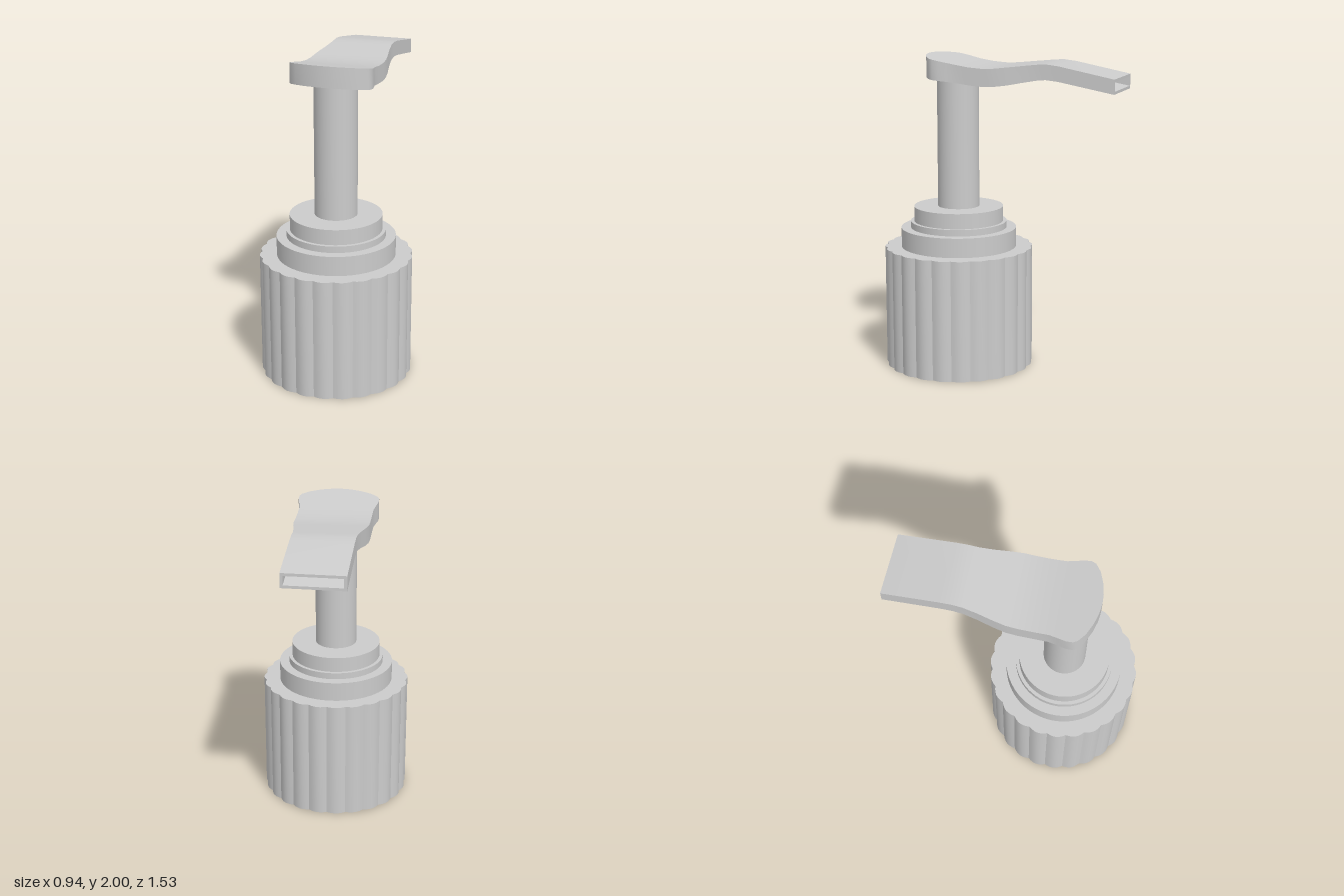
import * as THREE from 'three';
import { toCreasedNormals } from 'three/addons/utils/BufferGeometryUtils.js';

const AXIS_Z = 0.295; // the bottle neck axis, ahead of the centre

// Skin a row of four-cornered rings and cap both ends
function skinRings(rings) {
  const positions = rings.flat(2);
  const index = [];
  for (let i = 0; i < rings.length - 1; i++) {
    for (let j = 0; j < 4; j++) {
      const a = i * 4 + j, b = i * 4 + (j + 1) % 4;
      index.push(a, b, b + 4, a, b + 4, a + 4);
    }
  }
  const e = (rings.length - 1) * 4;
  index.push(0, 2, 1, 0, 3, 2, e, e + 1, e + 2, e, e + 2, e + 3);
  const geometry = new THREE.BufferGeometry();
  geometry.setAttribute('position', new THREE.Float32BufferAttribute(positions, 3));
  geometry.setIndex(index);
  return toCreasedNormals(geometry, 0.65);
}

export function createModel() {
  const model = new THREE.Group();
  const material = new THREE.MeshStandardMaterial({ color: 0xcccccc });
  const add = (name, geometry, y = 0, z = 0) => {
    const mesh = new THREE.Mesh(geometry, material);
    mesh.name = name;
    mesh.position.set(0, y, z);
    model.add(mesh);
  };
  const addCylinder = (name, radius, y0, y1) =>
    add(name, new THREE.CylinderGeometry(radius, radius, y1 - y0, 64), (y0 + y1) / 2, AXIS_Z);

  // Screw cap with scalloped grip ribs
  const ribs = 24, steps = 6, outline = [];
  for (let i = 0; i < ribs * steps; i++) {
    const angle = (i / (ribs * steps)) * Math.PI * 2;
    const r = 0.458 + 0.015 * Math.abs(Math.sin(angle * ribs / 2));
    outline.push(new THREE.Vector2(Math.cos(angle) * r, Math.sin(angle) * r));
  }
  const cap = new THREE.ExtrudeGeometry(new THREE.Shape(outline), { depth: 0.77, bevelEnabled: false });
  cap.rotateX(-Math.PI / 2);
  add('screwCap', toCreasedNormals(cap, 0.3), 0, AXIS_Z);

  // Stepped collar and plunger
  addCylinder('collarBase', 0.368, 0.77, 0.893);
  addCylinder('collarRing', 0.307, 0.893, 0.934);
  addCylinder('collarTop', 0.285, 0.934, 1.03);
  addCylinder('stem', 0.132, 1.03, 1.86);

  // Pump head sections from spout tip to front: z, half width, top y, bottom y
  const sections = [
    [-0.767, 0.19, 1.89, 1.80], [-0.42, 0.19, 1.957, 1.864],
    [-0.34, 0.19, 1.966, 1.872], [-0.28, 0.191, 1.962, 1.866],
    [-0.19, 0.202, 1.952, 1.85], [-0.1, 0.218, 1.942, 1.833],
    [-0.02, 0.229, 1.933, 1.823], [0.05, 0.23, 1.93, 1.82],
    [0.14, 0.23, 1.936, 1.827], [0.23, 0.231, 1.95, 1.838],
    [0.28, 0.241, 1.96, 1.844], [0.33, 0.252, 1.97, 1.849],
    [0.37, 0.252, 1.978, 1.853], [0.395, 0.24, 1.983, 1.856],
    [0.43, 0.195, 1.99, 1.862], [0.46, 0.125, 1.996, 1.867],
    [0.476, 0.06, 1.999, 1.87], [0.48, 0.02, 2.0, 1.871],
  ];
  const ring = ([z, w, top, bottom], wall = 0) => {
    const x = w - wall, t = top - wall, b = bottom + wall, dx = -0.009;
    return [[dx + x, b, z], [dx + x, t, z], [dx - x, t, z], [dx - x, b, z]];
  };
  // Hollow spout channel first, then round the lip and along the outside
  const channel = sections.slice(0, 3).reverse().map((s) => ring(s, 0.017));
  add('pumpHead', skinRings([...channel, ...sections.map((s) => ring(s))]));

  return model;
}
